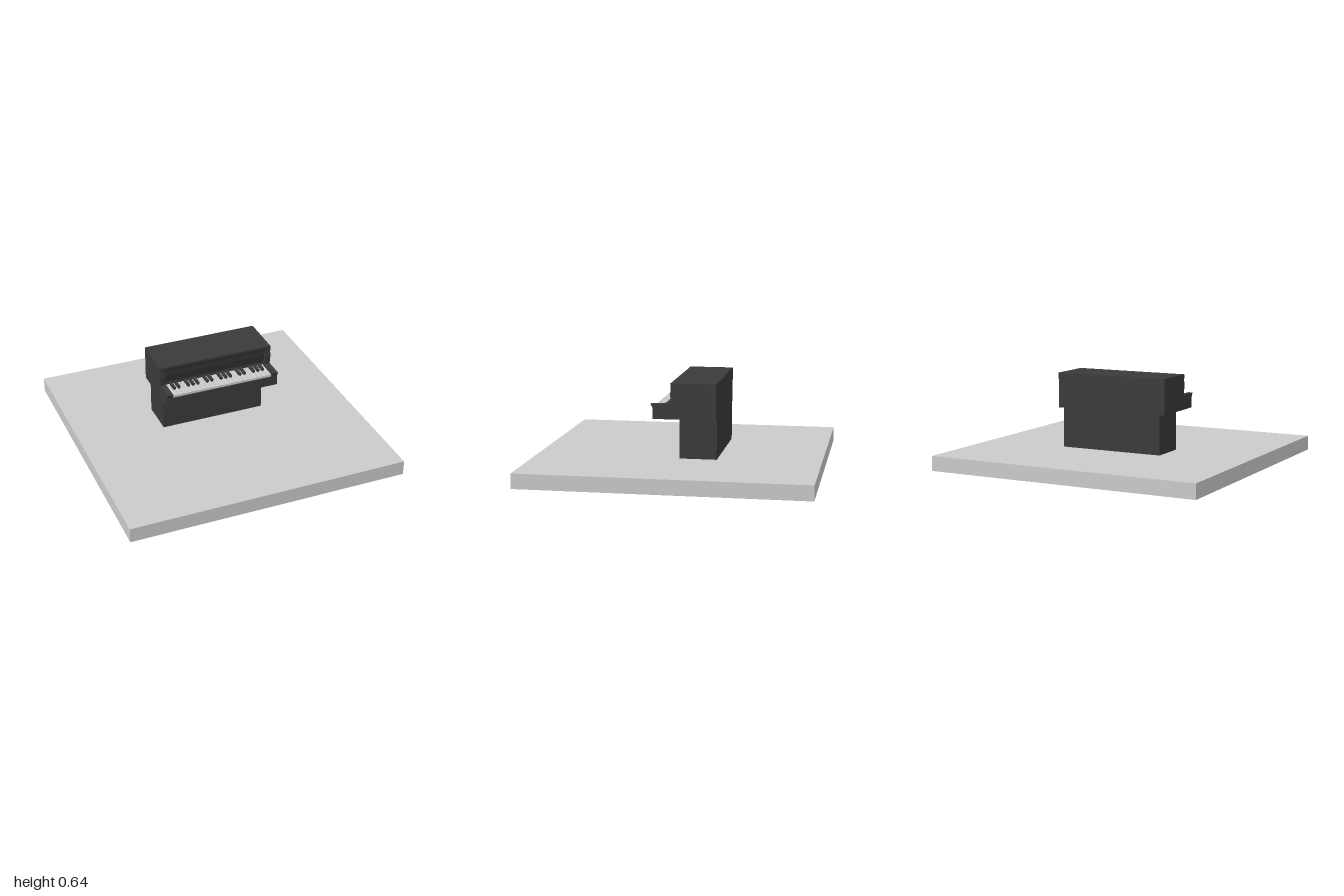
import * as THREE from 'three';

const grey = new THREE.MeshStandardMaterial({ color: 0xcccccc });
const ebony = new THREE.MeshStandardMaterial({ color: 0x3a3a3a });
const ivory = new THREE.MeshStandardMaterial({ color: 0xdddddd });

// Box given by its limits on each axis
function box(name, [x0, x1], [y0, y1], [z0, z1], material) {
  const geo = new THREE.BoxGeometry(x1 - x0, y1 - y0, z1 - z0);
  geo.translate((x0 + x1) / 2, (y0 + y1) / 2, (z0 + z1) / 2);
  const mesh = new THREE.Mesh(geo, material);
  mesh.name = name;
  return mesh;
}

// Side profile of (z, y) points, swept from x0 to x1
function sweep(name, profile, x0, x1) {
  const shape = new THREE.Shape(profile.map(([z, y]) => new THREE.Vector2(z, y)));
  const geo = new THREE.ExtrudeGeometry(shape, { depth: x1 - x0, bevelEnabled: false });
  geo.rotateY(-Math.PI / 2).translate(x1, 0, 0);
  const mesh = new THREE.Mesh(geo, ebony);
  mesh.name = name;
  return mesh;
}

export function createModel() {
  const group = new THREE.Group();
  const left = 0.41, right = -0.425, innerLeft = 0.37, innerRight = -0.39;

  // Floor slab and lower case
  group.add(box('floor', [-1, 1], [0, 0.105], [-1, 1], grey));
  group.add(box('lowerCase', [innerRight, innerLeft], [0.11, 0.39], [-0.28, -0.02], ebony));

  // Cheeks with arm and curved front edge
  const cheek = [
    [-0.28, 0.39], [0.16, 0.39], [0.16, 0.465], [0.175, 0.495], [0.03, 0.495],
    [0.035, 0.53], [0.04, 0.56], [0.035, 0.59], [0.035, 0.61], [0.037, 0.64], [-0.28, 0.64],
  ];
  group.add(sweep('leftCheek', cheek, innerLeft, left));
  group.add(sweep('rightCheek', cheek, right, innerRight));

  // Middle body: key bed, recessed fallboard and lid
  const body = [
    [-0.28, 0.39], [0.16, 0.39], [0.16, 0.46], [0.0, 0.46], [0.0, 0.5],
    [0.02, 0.56], [0.027, 0.6], [0.036, 0.625], [0.036, 0.64], [-0.28, 0.64],
  ];
  group.add(sweep('upperBody', body, innerRight, innerLeft));

  // Three octaves of keys
  const keys = new THREE.Group();
  keys.name = 'keyboard';
  const start = -0.374, pitch = 0.0354, gap = 0.0022;
  for (let i = 0; i < 21; i++) {
    const x = start + i * pitch;
    keys.add(box('whiteKey', [x + gap, x + pitch - gap], [0.46, 0.477], [0, 0.154], ivory));
    if (![2, 6].includes(i % 7)) {
      const c = x + pitch;
      keys.add(box('blackKey', [c - 0.01, c + 0.01], [0.465, 0.493], [0, 0.082], ebony));
    }
  }
  // Filler block beside the lowest key
  keys.add(box('keyBlock', [innerRight, start], [0.46, 0.48], [0, 0.155], ebony));
  group.add(keys);

  return group;
}
